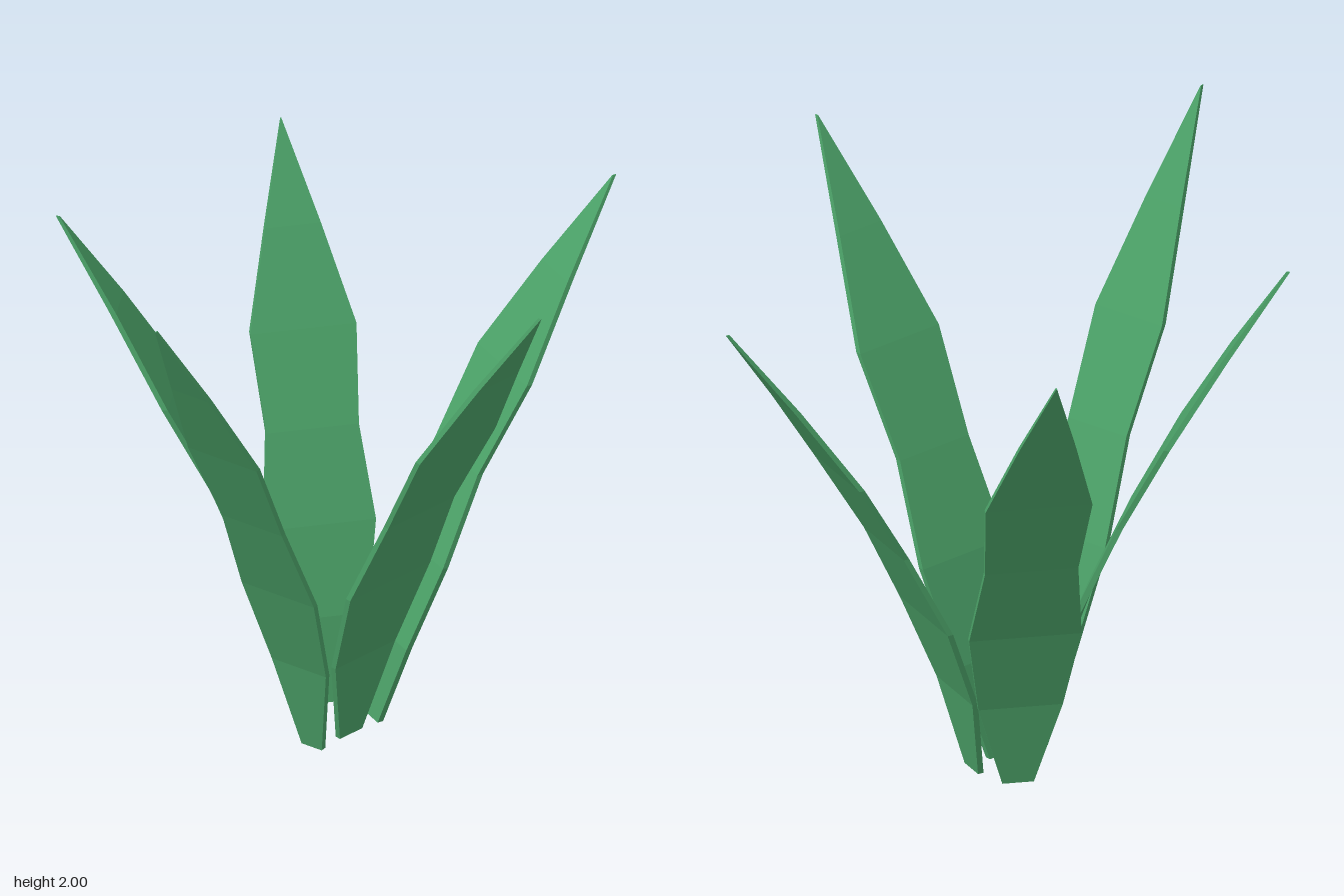
import * as THREE from 'three';

// relative half width at seven evenly spaced heights, base to tip
const PROFILE = [0.28, 0.75, 1, 0.83, 0.95, 0.5, 0.01];

// base [x, z], tip [x, y, z], widest half width, bend exponent
const LEAVES = [
  { name: 'leftwardLeaf', base: [-0.02, -0.08], tip: [-0.86, 1.83, 0.0], width: 0.147, bend: 1.47 },
  { name: 'rightwardLeaf', base: [0.085, -0.07], tip: [0.855, 1.95, 0.415], width: 0.175, bend: 1.45 },
  { name: 'frontLeaf', base: [0.007, 0.033], tip: [-0.3, 2.0, 0.885], width: 0.14, bend: 1.4 },
  { name: 'backLeftLeaf', base: [-0.015, -0.228], tip: [-0.347, 1.755, -0.885], width: 0.183, bend: 1.53 },
  { name: 'backRightLeaf', base: [0.135, -0.178], tip: [0.78, 1.755, -0.82], width: 0.164, bend: 1.5 },
];

// A thin solid blade lofted through horizontal rectangular sections
function bladeGeometry({ base, tip, width, bend }) {
  const run = new THREE.Vector2(tip[0] - base[0], tip[2] - base[1]);
  const reach = run.length();
  const out = run.clone().normalize();
  const side = new THREE.Vector2(out.y, -out.x);
  const positions = [];
  const index = [];
  const last = PROFILE.length - 1;

  PROFILE.forEach((w, i) => {
    const t = i / last;
    const thickness = i === last ? 0.012 : 0.02;
    const along = (reach - 0.012) * Math.pow(t, bend);
    const half = w * width;
    // inner pair, then outer pair
    for (const [s, o] of [[-1, 0], [1, 0], [1, 1], [-1, 1]]) {
      const a = along + o * thickness;
      positions.push(
        base[0] + out.x * a + side.x * s * half,
        tip[1] * t,
        base[1] + out.y * a + side.y * s * half
      );
    }
  });

  const quad = (a, b, c, d) => index.push(a, b, c, a, c, d);
  for (let i = 0; i < last; i++) {
    for (let k = 0; k < 4; k++) {
      const a = i * 4 + k;
      const b = i * 4 + ((k + 1) % 4);
      quad(b, a, a + 4, b + 4);
    }
  }
  // base and tip caps
  quad(0, 1, 2, 3);
  const e = last * 4;
  quad(e + 3, e + 2, e + 1, e);

  const indexed = new THREE.BufferGeometry();
  indexed.setAttribute('position', new THREE.Float32BufferAttribute(positions, 3));
  indexed.setIndex(index);
  const geometry = indexed.toNonIndexed();
  geometry.computeVertexNormals();
  return geometry;
}

export function createModel() {
  const group = new THREE.Group();
  group.name = 'leafyPlant';
  const leafGreen = new THREE.MeshStandardMaterial({ color: 0x4a9f66 });
  leafGreen.name = 'leafGreen';
  leafGreen.flatShading = true;

  for (const leaf of LEAVES) {
    const mesh = new THREE.Mesh(bladeGeometry(leaf), leafGreen);
    mesh.name = leaf.name;
    group.add(mesh);
  }
  return group;
}
